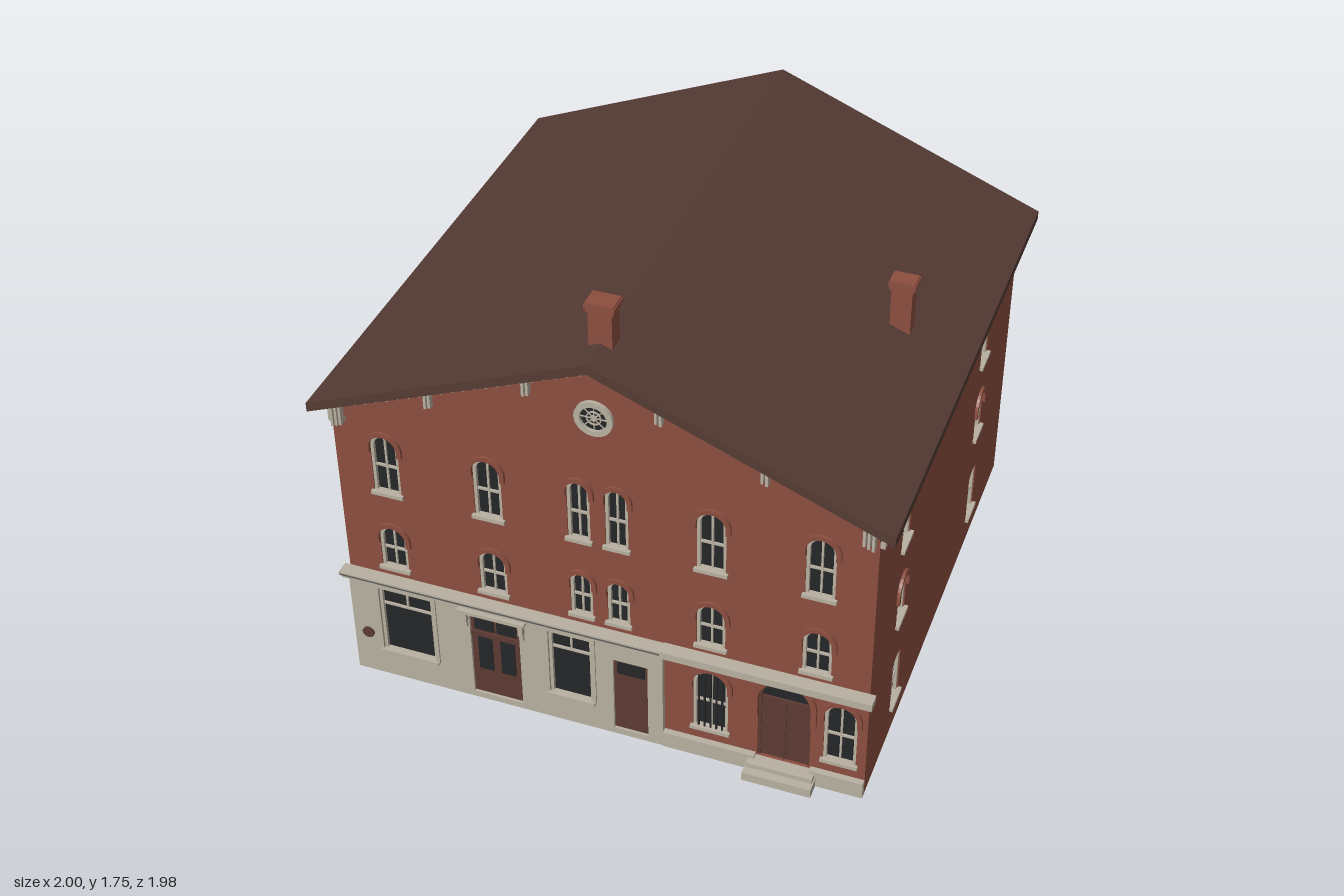
import * as THREE from 'three';

const mat = (name, color, side = THREE.FrontSide) => {
  const m = new THREE.MeshStandardMaterial({ color, side });
  m.name = name;
  return m;
};
const brick = mat('brick', 0x8c4e3f);
const stone = mat('cream stone', 0xb8b0a1);
const roofing = mat('dark roof', 0x553b34);
const wood = mat('brown door', 0x5c3a32);
const glass = mat('dark glass', 0x252627, THREE.DoubleSide);
const slate = mat('grey flashing', 0x5c5d58);

const SLOPE = 0.405, RIDGE = 1.57, FRONT = 0.905, BACK = -0.955, SIDE = 0.94, T = 0.025;
const roofY = x => RIDGE - SLOPE * Math.abs(x);
const V = (x, y) => new THREE.Vector2(x, y);

function add(parent, name, geometry, material, x = 0, y = 0, z = 0) {
  const m = new THREE.Mesh(geometry, material);
  m.name = name;
  m.position.set(x, y, z);
  parent.add(m);
  return m;
}
// box given by its extents
function box(parent, name, material, x0, x1, y0, y1, z0, z1) {
  return add(parent, name, new THREE.BoxGeometry(x1 - x0, y1 - y0, z1 - z0), material,
    (x0 + x1) / 2, (y0 + y1) / 2, (z0 + z1) / 2);
}
const extrude = (shape, depth) =>
  new THREE.ExtrudeGeometry(shape, { depth, bevelEnabled: false, curveSegments: 20 });

// outline of an opening, from bottom right over the head to bottom left
function archPath(w, h, rise, n = 14) {
  const pts = [V(w / 2, 0)];
  if (rise > 0) {
    const R = (w * w / 4 + rise * rise) / (2 * rise);
    const a = Math.asin(Math.min(1, w / 2 / R));
    for (let i = 0; i <= n; i++) {
      const t = Math.PI / 2 - a + 2 * a * i / n;
      pts.push(V(R * Math.cos(t), h - R + R * Math.sin(t)));
    }
  } else pts.push(V(w / 2, h), V(-w / 2, h));
  pts.push(V(-w / 2, 0));
  return pts;
}
// strip following the sides and head of an opening
function band(w, h, rise, t, depth) {
  const inner = archPath(w - 2 * t, h - t, rise * (w - 2 * t) / w).reverse();
  return extrude(new THREE.Shape([...archPath(w, h, rise), ...inner]), depth);
}
// roof-shaped strip
function chevron(halfW, top, thick, depth) {
  const e = top - SLOPE * halfW;
  return extrude(new THREE.Shape([V(-halfW, e), V(-halfW, e - thick), V(0, top - thick),
    V(halfW, e - thick), V(halfW, e), V(0, top)]), depth);
}
// wall whose outer face is local z = 0, pierced by openings
function wall(parent, name, material, outline, openings, t = T) {
  const g = new THREE.Group();
  g.name = name;
  const shape = new THREE.Shape(outline.map(p => V(...p)));
  for (const o of openings)
    shape.holes.push(new THREE.Path(archPath(o.w, o.h, o.rise).map(p => V(p.x + o.x, p.y + o.y))));
  add(g, name + 'Face', extrude(shape, t), material, 0, 0, -t);
  parent.add(g);
  return g;
}
const opening = (x, y, top, w, rise = w / 2, opts = {}) => ({ x, y, w, h: top - y, rise, rail: 0.45, ...opts });

// glass, frame, sash bars, sill and brick hood
function windowUnit(parent, o) {
  const g = new THREE.Group();
  g.name = 'window';
  g.position.set(o.x, o.y, 0);
  parent.add(g);
  const { w, h, rise } = o, f = 0.011;
  add(g, 'glass', new THREE.ShapeGeometry(new THREE.Shape(archPath(w, h, rise))), glass, 0, 0, -0.018);
  add(g, 'frame', band(w, h, rise, f, 0.013), stone, 0, 0, -0.017);
  const r = o.rail * h, low = o.shop ? r : 0;
  box(g, 'rail', stone, -w / 2, w / 2, r - 0.004, r + 0.004, -0.017, -0.009);
  box(g, 'sashBar', stone, -0.0035, 0.0035, low, h - 0.005, -0.017, -0.01);
  box(g, 'sill', stone, -w / 2 - 0.008, w / 2 + 0.008, -0.008, 0.006, -0.017, 0.013);
  if (o.hood) {
    const y = Math.max(0, h - rise - 0.025);
    add(g, 'hood', band(w + 0.034, h - y + 0.017, rise + (rise ? 0.017 : 0), 0.017, 0.011), brick, 0, y, 0);
  }
  if (o.bars) for (let i = -2; i <= 2; i++)
    box(g, 'ironBar', glass, i * 0.021 - 0.003, i * 0.021 + 0.003, 0, h - 0.012 - Math.abs(i) * 0.008, -0.004, 0.002);
  if (o.shop) add(g, 'surround', band(w + 0.024, h + 0.012, 0, 0.012, 0.006), stone);
}
const windows = (parent, list) => list.forEach(o => windowUnit(parent, o));

function chimney(parent, x, z, w, d, y0, y1) {
  const g = new THREE.Group();
  g.name = 'chimney';
  parent.add(g);
  for (const [e, a, b] of [[0, y0, y1 - 0.03], [0.006, y1 - 0.035, y1 - 0.022], [0.011, y1 - 0.022, y1 - 0.006], [0.007, y1 - 0.006, y1]])
    box(g, 'chimneyCourse', brick, x - w / 2 - e, x + w / 2 + e, a, b, z - d / 2 - e * 0.5, z + d / 2 + e * 0.5);
}

export function createModel() {
  const model = new THREE.Group();
  model.name = 'building';
  const inX = SIDE - T, hood = { hood: true };

  // front brick wall
  const upper = [];
  for (const [y, top] of [[0.84, 1.085], [0.505, 0.69]]) {
    for (const x of [-0.76, -0.39, 0.39, 0.755]) upper.push(opening(x, y, top, 0.1, 0.05, hood));
    for (const x of [-0.068, 0.065]) upper.push(opening(x, y, top, 0.08, 0.04, hood));
  }
  upper.push(opening(0.39, 0.12, 0.39, 0.125, 0.062, { hood: true, bars: true }),
    opening(0.848, 0.12, 0.385, 0.115, 0.057, hood));
  const entry = opening(0.652, 0.055, 0.425, 0.185, 0.09);
  const front = wall(model, 'frontWall', brick, [[0.225, 0], [inX, 0], [inX, roofY(inX)], [0, RIDGE],
    [-inX, roofY(inX)], [-inX, 0.445], [0.225, 0.445]], [...upper, entry]);
  front.position.z = FRONT;
  windows(front, upper);

  // arched entrance
  const entrance = new THREE.Group();
  entrance.name = 'archedEntrance';
  entrance.position.set(entry.x, entry.y, 0);
  front.add(entrance);
  add(entrance, 'lunette', new THREE.ShapeGeometry(new THREE.Shape(archPath(entry.w, entry.h, entry.rise))), glass, 0, 0, -0.022);
  box(entrance, 'door', wood, -0.0925, 0.0925, 0, 0.275, -0.021, -0.012);
  box(entrance, 'doorMeeting', wood, -0.004, 0.004, 0, 0.272, -0.012, -0.008);
  add(entrance, 'doorFrame', band(0.185, 0.37, 0.09, 0.01, 0.012), wood, 0, 0, -0.02);
  add(entrance, 'entranceHood', band(0.225, 0.19, 0.11, 0.02, 0.011), brick, 0, 0.2, 0);

  // rose window
  const rose = new THREE.Group();
  rose.name = 'roseWindow';
  rose.position.set(0, 1.365, 0);
  front.add(rose);
  add(rose, 'roseGlass', new THREE.CircleGeometry(0.05, 32), glass, 0, 0, 0.003);
  for (const [r0, r1, d] of [[0.046, 0.066, 0.014], [0.022, 0.026, 0.008], [0.006, 0.011, 0.008]]) {
    const s = new THREE.Shape().absarc(0, 0, r1, 0, Math.PI * 2);
    s.holes.push(new THREE.Path().absarc(0, 0, r0, 0, Math.PI * 2));
    add(rose, 'roseRing', extrude(s, d), stone);
  }
  for (let i = 0; i < 4; i++)
    add(rose, 'roseSpoke', new THREE.BoxGeometry(0.095, 0.003, 0.004), stone, 0, 0, 0.005).rotation.z = i * Math.PI / 4;

  // stone shopfront
  const shopWindows = [opening(-0.725, 0.12, 0.412, 0.205, 0, { shop: true, rail: 0.74 }),
    opening(-0.11, 0.12, 0.412, 0.16, 0, { shop: true, rail: 0.74 })];
  const doors = [opening(-0.392, 0.025, 0.4, 0.185, 0), opening(0.108, 0.025, 0.35, 0.125, 0)];
  const shop = wall(model, 'shopfront', stone, [[-SIDE, 0], [0.225, 0], [0.225, 0.445], [-SIDE, 0.445]],
    [...shopWindows, ...doors], 0.02);
  shop.position.z = 0.925;
  windows(shop, shopWindows);
  for (const d of doors) box(shop, 'shopDoor', wood, d.x - d.w / 2, d.x + d.w / 2, d.y, d.y + d.h, -0.02, -0.01);
  for (const s of [-1, 1]) {
    const x = -0.392 + s * 0.042;
    box(shop, 'doorPane', glass, x - 0.027, x + 0.027, 0.14, 0.29, -0.01, -0.007);
    box(shop, 'transomPane', glass, x - 0.037, x + 0.037, 0.325, 0.39, -0.01, -0.007);
    const bx = -0.392 + s * 0.105;
    box(shop, 'hoodBracket', stone, bx - 0.009, bx + 0.009, 0.365, 0.412, 0, 0.018);
    box(shop, 'hoodBracketFoot', stone, bx - 0.007, bx + 0.007, 0.335, 0.365, 0, 0.009);
  }
  box(shop, 'doorTransom', wood, -0.485, -0.3, 0.3, 0.318, -0.01, -0.002);
  box(shop, 'transomPane', glass, 0.058, 0.158, 0.285, 0.338, -0.01, -0.007);
  box(shop, 'doorHood', stone, -0.505, -0.279, 0.408, 0.42, 0, 0.022);
  box(shop, 'doorHoodTop', stone, -0.517, -0.267, 0.42, 0.43, 0, 0.03);
  add(shop, 'plaque', new THREE.CylinderGeometry(0.022, 0.022, 0.008, 20), wood, -0.885, 0.185, 0.004).rotation.x = Math.PI / 2;

  // stone plinth, steps and cornice
  box(model, 'plinth', stone, 0.225, 0.555, 0, 0.066, FRONT, 0.928);
  box(model, 'plinth', stone, 0.75, SIDE, 0, 0.066, FRONT, 0.928);
  box(model, 'lowerStep', stone, 0.53, 0.775, 0, 0.036, 0.88, 0.985);
  box(model, 'upperStep', stone, 0.535, 0.77, 0.036, 0.055, 0.88, 0.955);
  box(model, 'corniceLeftPart', stone, -0.955, 0.225, 0.438, 0.453, FRONT, 0.945);
  box(model, 'corniceFlashing', slate, -0.96, 0.225, 0.453, 0.462, FRONT, 0.953);
  box(model, 'corniceLeftCap', stone, -0.96, 0.225, 0.462, 0.469, FRONT, 0.955);
  box(model, 'corniceRightPart', stone, 0.225, 0.96, 0.443, 0.472, FRONT, 0.955);

  // back wall
  const rear = [[0.12, 0.33], [0.51, 0.71], [0.85, 1.07]].map(([a, b]) => opening(0.265, a, b, 0.1, 0));
  const back = wall(model, 'backWall', brick, [[-inX, 0], [inX, 0], [inX, roofY(inX)], [0, RIDGE], [-inX, roofY(inX)]], rear);
  back.position.z = BACK;
  back.rotation.y = Math.PI;
  windows(back, rear);

  // side walls, frieze and eave dentils
  for (const s of [-1, 1]) {
    const list = [];
    for (const z of [0.555, -0.505])
      list.push(opening(-s * z, 0.84, 1.085, 0.1, 0.05, hood), opening(-s * z, 0.505, 0.69, 0.1, 0.05, hood),
        opening(-s * z, 0.12, 0.328, 0.1, 0.014));
    const a = Math.min(-s * FRONT, -s * BACK), b = Math.max(-s * FRONT, -s * BACK), top = roofY(SIDE);
    const side = wall(model, s > 0 ? 'leftWall' : 'rightWall', brick, [[a, 0], [b, 0], [b, top], [a, top]], list);
    side.position.x = s * SIDE;
    side.rotation.y = s * Math.PI / 2;
    windows(side, list);
    box(side, 'sideFrieze', brick, a, b, 1.13, 1.185, 0, 0.006);
    for (let z = BACK + 0.03; z < 0.86; z += 0.042)
      box(side, 'eaveDentil', stone, -s * z - 0.007, -s * z + 0.007, 1.15, 1.166, 0.006, 0.02);
    for (const z of [0.872, 0.886, 0.9])
      box(side, 'eaveBracket', stone, -s * z - 0.004, -s * z + 0.004, 1.1, 1.17, 0, 0.016);
  }

  // gable frieze, dentils and brackets
  add(model, 'gableFrieze', chevron(SIDE, RIDGE, 0.065, 0.008), brick, 0, 0, FRONT);
  for (const s of [-1, 1]) {
    for (let x = 0.04; x < 0.88; x += 0.04)
      box(model, 'gableDentil', stone, s * x - 0.007, s * x + 0.007, roofY(x) - 0.02, roofY(x) - 0.003, FRONT, 0.93);
    for (const x of [0.215, 0.23, 0.562, 0.577, 0.895, 0.91, 0.925])
      box(model, 'gableBracket', stone, s * x - 0.0045, s * x + 0.0045, roofY(x) - (x > 0.8 ? 0.09 : 0.068), roofY(x), FRONT, 0.935);
  }

  // roof and chimneys
  add(model, 'roof', chevron(1, 1.605, 0.035, 1.95), roofing, 0, 0, -0.99);
  chimney(model, 0, 0.807, 0.08, 0.064, 1.54, 1.75);
  chimney(model, 0.75, 0.013, 0.072, 0.058, 1.25, 1.49);
  return model;
}
